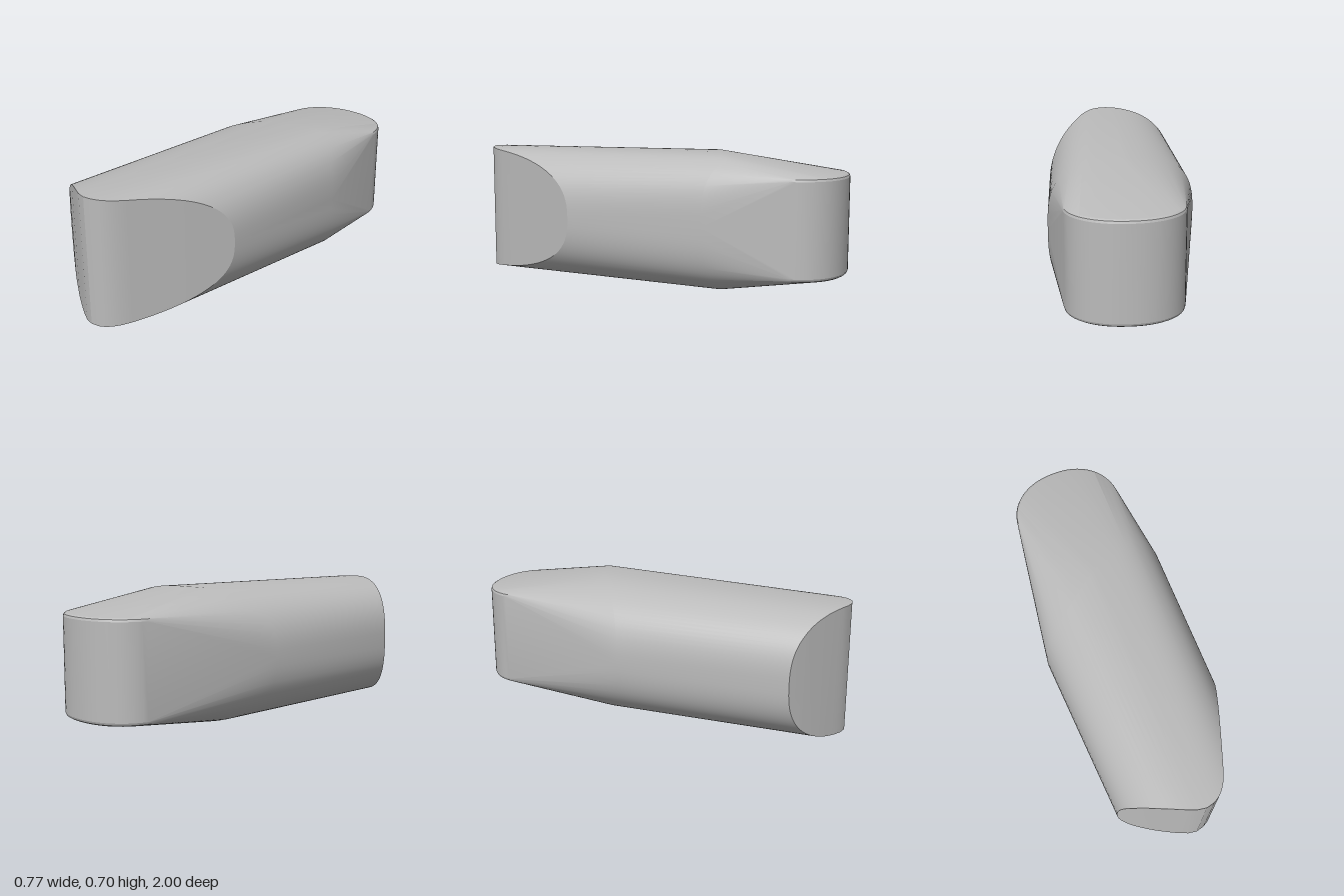
import * as THREE from 'three';
import { ConvexGeometry } from 'three/addons/geometries/ConvexGeometry.js';
import { toCreasedNormals } from 'three/addons/utils/BufferGeometryUtils.js';

// Plan curves as [x, z]: the blunt nose and the shoulder line behind the body
const NOSE = [[-0.375, 0.8], [-0.3, 0.85], [-0.2, 0.91], [-0.1, 0.965], [-0.04, 0.993], [0, 1],
  [0.03, 0.997], [0.06, 0.985], [0.09, 0.965], [0.12, 0.93], [0.145, 0.885], [0.36, 0.38]];
const SHOULDER = [[-0.383, -0.09], [-0.1, -0.27], [0, -0.34], [0.15, -0.37], [0.27, -0.43], [0.383, -0.35]];

function lookup(curve, x) {
  for (let i = 1; i < curve.length; i++) {
    const [x0, z0] = curve[i - 1], [x1, z1] = curve[i];
    if (x <= x1) return z0 + (z1 - z0) * (x - x0) / (x1 - x0);
  }
  return curve[curve.length - 1][1];
}

// Superellipse cross-section, bent in z along a plan curve
function section(curve, cx, left, right, height, nLeft, nRight, count = 96) {
  const points = [];
  for (let i = 0; i < count; i++) {
    const a = i / count * Math.PI * 2, c = Math.cos(a), s = Math.sin(a);
    const n = c < 0 ? nLeft : nRight;
    const x = cx + (c < 0 ? left : right) * Math.sign(c) * Math.abs(c) ** (2 / n);
    const y = 0.35 + height * Math.sign(s) * Math.abs(s) ** (2 / n);
    points.push(new THREE.Vector3(x, y, lookup(curve, x)));
  }
  return points;
}

// Upright rounded tail, with a slight softening of its upper and lower rims
function tail() {
  const points = [];
  for (const [inset, h] of [[0, 0.235], [0.004, 0.246], [0.014, 0.252]]) {
    for (let i = 0; i <= 32; i++) {
      const a = i / 32 * Math.PI, c = Math.cos(a), s = Math.sin(a);
      const x = 0.036 + (0.285 - inset) * Math.sign(c) * Math.abs(c) ** 0.92;
      const z = -0.75 - (0.25 - inset) * s ** 0.92;
      for (const side of [-1, 1]) points.push(new THREE.Vector3(x, 0.35 + side * h, z));
    }
  }
  return points;
}

export function createModel() {
  const model = new THREE.Group();
  const grey = new THREE.MeshStandardMaterial({ color: 0xbbbbbb });
  grey.name = 'plain grey';

  // One convex skin stretched over nose, shoulder and tail
  const hull = new ConvexGeometry([
    ...section(NOSE, 0, 0.375, 0.36, 0.333, 2.6, 2.6),
    ...section(SHOULDER, 0.06, 0.443, 0.323, 0.35, 2.6, 3),
    ...tail(),
  ]);
  const body = new THREE.Mesh(toCreasedNormals(hull, 0.3), grey);
  body.name = 'body';
  model.add(body);
  return model;
}
